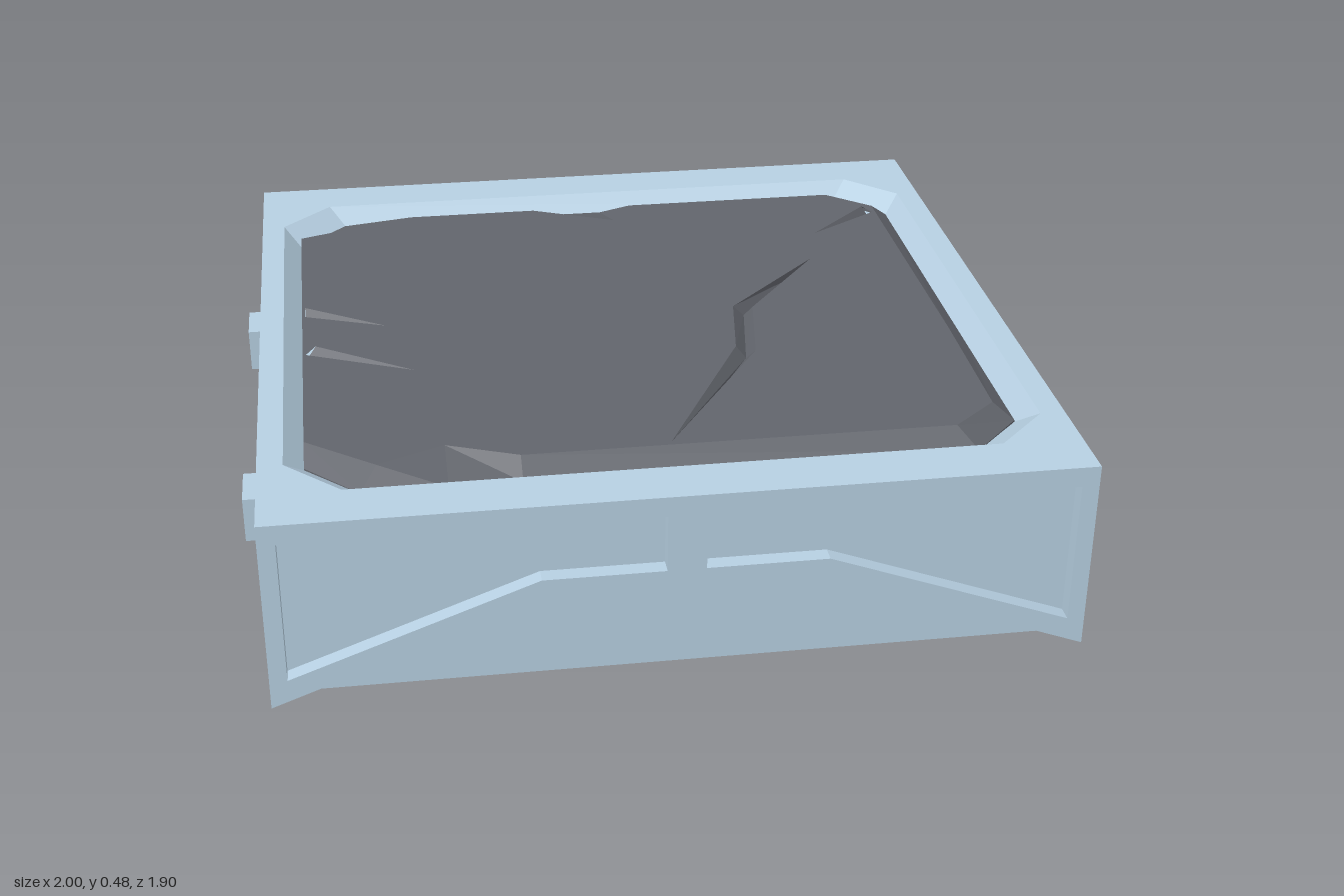
import * as THREE from 'three';
import { mergeGeometries } from 'three/addons/utils/BufferGeometryUtils.js';

const material = (color) => new THREE.MeshStandardMaterial({ color, flatShading: true, side: THREE.DoubleSide });
const metal = material(0xb7d0e2), stone = material(0x62656c), plug = material(0xcccccc);

const points = (list) => list.map(([u, v]) => new THREE.Vector2(u, v));

function makeShape(outline, holes = []) {
  const shape = new THREE.Shape(points(outline));
  for (const h of holes) shape.holes.push(new THREE.Path(points(h)));
  return shape;
}

// Rectangle centred on the origin, half sizes a and b
const rect = (a, b) => [[-a, -b], [a, -b], [a, b], [-a, b]];

// Rectangle with cut corners, half sizes a and b, corner cut c
const octagon = (a, b, c) => [
  [a - c, b], [a, b - c], [a, c - b], [a - c, -b], [c - a, -b], [-a, c - b], [-a, b - c], [c - a, b],
];

// Strip of faceted quads between two outlines, each at its own height
function strip(outer, h0, inner, h1, closed = true) {
  const pos = [], n = outer.length;
  for (let i = 0; i < (closed ? n : n - 1); i++) {
    const j = (i + 1) % n;
    const a = [...outer[i], h0], b = [...outer[j], h0], c = [...inner[j], h1], d = [...inner[i], h1];
    pos.push(...a, ...b, ...c, ...a, ...c, ...d);
  }
  const g = new THREE.BufferGeometry();
  g.setAttribute('position', new THREE.Float32BufferAttribute(pos, 3));
  g.computeVertexNormals();
  return g;
}

function flat(outline, h, holes) {
  const g = new THREE.ShapeGeometry(makeShape(outline, holes)).toNonIndexed().translate(0, 0, h);
  g.deleteAttribute('uv');
  return g;
}

function slab(outline, holes, from, to) {
  return new THREE.ExtrudeGeometry(makeShape(outline, holes), { depth: to - from, bevelEnabled: false })
    .translate(0, 0, from);
}

function add(parent, name, geometry, mat) {
  const mesh = new THREE.Mesh(geometry, mat);
  mesh.name = name;
  parent.add(mesh);
}

function group(parent, name) {
  const g = new THREE.Group();
  g.name = name;
  parent.add(g);
  return g;
}

// Arched cross-section mirrored from its right half, listed foot to top
function arch(half) {
  const right = [[0.32, 0.24], ...half];
  return [...right, ...right.map(([x, y]) => [-x, y]).reverse()];
}

// Front or back: arched trim with two sunken panels, and the wall closing the arch
function buildEnd(parent, name) {
  const end = group(parent, name);
  const panel = [[0.045, 0.43], [0.045, 0.288], [0.33, 0.288], [0.909, 0.072], [0.909, 0.43]];
  const mirrored = panel.map(([x, y]) => [-x, y]);
  add(end, 'archTrim', slab(arch([[0.95, 0], [0.95, 0.48]]), [panel, mirrored], 0.91, 0.95), metal);
  add(end, 'archWall', new THREE.BoxGeometry(1.86, 0.27, 0.15).translate(0, 0.136, 0.815), metal);
  return end;
}

// Side: two chamfered stone pods with hollow studs
function buildSide(parent, name) {
  const side = group(parent, name);
  for (const s of [-1, 1]) {
    const pod = group(side, 'pod');
    pod.position.set(s * 0.455, 0.241, 0);
    const outer = octagon(0.408, 0.143, 0.06), inner = octagon(0.36, 0.094, 0.055);
    add(pod, 'podStone', mergeGeometries([strip(outer, 0.9, inner, 0.945), flat(inner, 0.945)]), stone);
    add(pod, 'studFrame', slab(rect(0.063, 0.057), [rect(0.042, 0.038)], 0.92, 1.0), metal);
    add(pod, 'studPlug', new THREE.BoxGeometry(0.084, 0.076, 0.04).translate(0, 0, 0.95), plug);
  }
  return side;
}

// Cracks as two edges around a sunken spine; coordinates are x and -z
const CRACKS = [
  { left: [[0, -0.7], [0.24, -0.23], [0.275, 0], [0.54, 0.27]],
    spine: [[0, -0.7], [0.265, -0.24], [0.305, 0.005], [0.54, 0.27]],
    right: [[0, -0.7], [0.285, -0.26], [0.325, -0.01], [0.54, 0.27]] },
  { left: [[-0.63, 0.01], [-0.835, 0.145]], spine: [[-0.63, 0.01], [-0.835, 0.115]],
    right: [[-0.63, 0.01], [-0.835, 0.09]] },
  { left: [[-0.57, -0.25], [-0.81, -0.085]], spine: [[-0.57, -0.25], [-0.835, -0.1]],
    right: [[-0.57, -0.25], [-0.835, -0.13]] },
  { left: [[0.59, 0.44], [0.765, 0.61]], spine: [[0.59, 0.44], [0.785, 0.6]],
    right: [[0.59, 0.44], [0.785, 0.565]] },
];

function buildStoneTop(parent) {
  // Matching rim and top outlines, chipped along the edges
  const rim = [[-0.72, 0.765], [-0.18, 0.765], [0.02, 0.765], [0.1, 0.765], [0.72, 0.765], [0.845, 0.635],
    [0.845, -0.2], [0.845, -0.635], [0.72, -0.765], [-0.35, -0.765], [-0.52, -0.765], [-0.72, -0.765],
    [-0.845, -0.635], [-0.845, 0.635]];
  const top = [[-0.53, 0.71], [-0.18, 0.71], [0.04, 0.61], [0.1, 0.71], [0.68, 0.71], [0.795, 0.61],
    [0.8, -0.2], [0.795, -0.61], [0.68, -0.71], [-0.35, -0.71], [-0.52, -0.64], [-0.68, -0.71],
    [-0.843, -0.58], [-0.843, 0.6]];
  const y = 0.478, deep = y - 0.03, parts = [strip(rim, 0.438, top, y), strip(rim, 0.42, rim, 0.438)], holes = [];
  for (const { left, spine, right } of CRACKS) {
    holes.push([...left, ...right.slice(1).reverse().filter((p) => p.join() !== left.at(-1).join())]);
    parts.push(strip(left, y, spine, deep, false), strip(spine, deep, right, y, false));
  }
  parts.push(flat(top, y, holes));
  add(parent, 'stoneTop', mergeGeometries(parts).rotateX(-Math.PI / 2), stone);
}

export function createModel() {
  const model = new THREE.Group();
  model.name = 'block';

  // Core with the arched hollow underneath and a recess along each side
  const coreHalf = [[0.95, 0], [0.95, 0.05], [0.91, 0.05], [0.91, 0.43]];
  add(model, 'core', slab(arch(coreHalf), [], -0.91, 0.91), metal);

  // Top rim with a gently sloping octagonal recess
  const opening = octagon(0.89, 0.815, 0.13), floor = octagon(0.845, 0.765, 0.128);
  const edge = rect(0.95, 0.95);
  add(model, 'topRim', mergeGeometries([
    flat(edge, 0.48, [opening]),
    strip(opening, 0.48, floor, 0.435),
    strip(edge, 0.48, edge, 0.43),
    strip(edge, 0.43, rect(0.905, 0.95), 0.43),
  ]).rotateX(-Math.PI / 2), metal);
  buildStoneTop(model);

  buildEnd(model, 'front');
  buildEnd(model, 'back').rotation.y = Math.PI;
  buildSide(model, 'leftSide').rotation.y = Math.PI / 2;
  buildSide(model, 'rightSide').rotation.y = -Math.PI / 2;
  return model;
}
